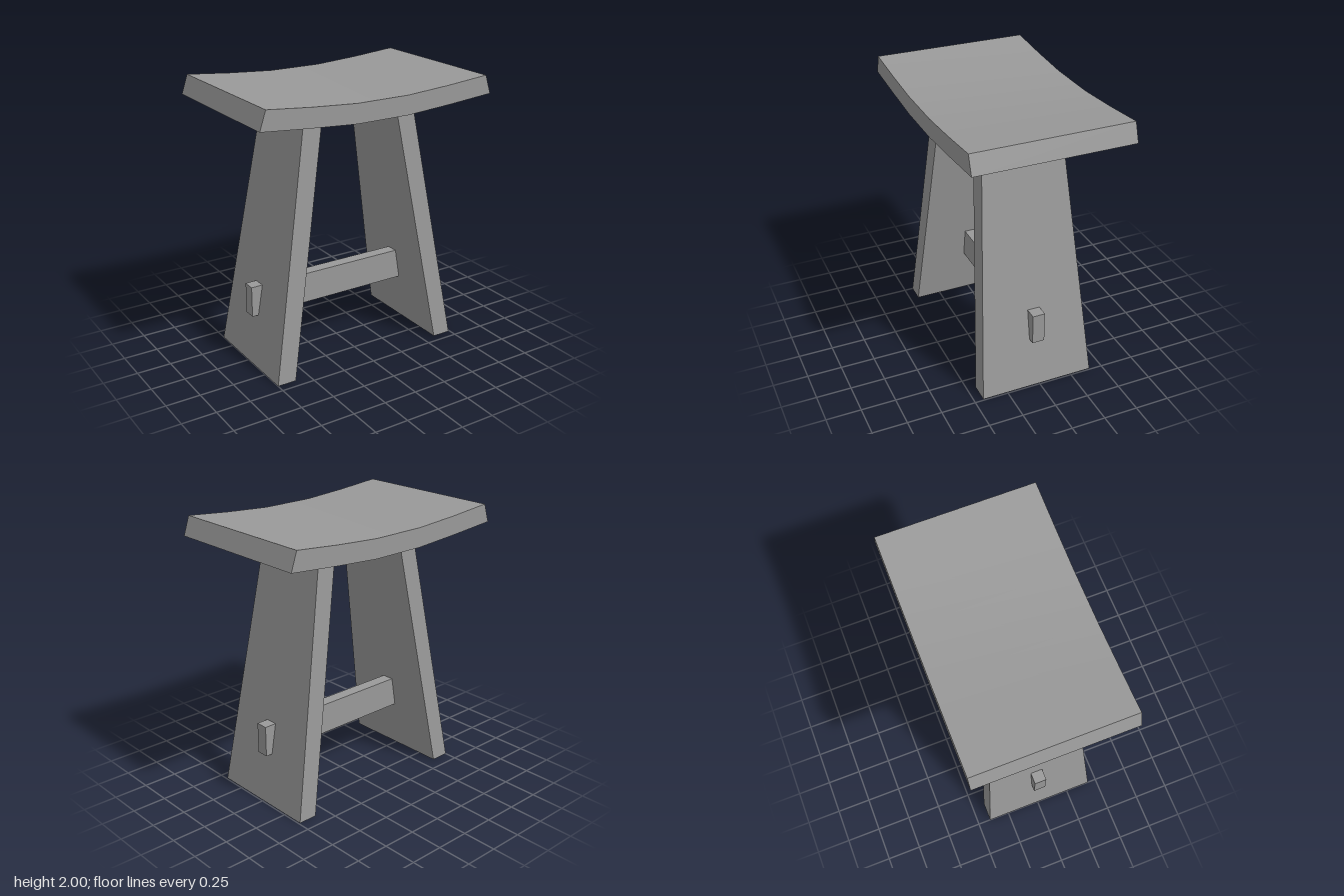
import * as THREE from 'three';
import { toCreasedNormals } from 'three/addons/utils/BufferGeometryUtils.js';

const material = new THREE.MeshStandardMaterial({ color: 0x999999, side: THREE.DoubleSide });

// Ring of corners: an [x, y] line from left to right along the front, then back along the rear
function ring(line, zFront, zBack) {
  return [
    ...line.map(([x, y]) => [x, y, zFront]),
    ...line.map(([x, y]) => [x, y, zBack]).reverse(),
  ];
}

// Board with walls between two rings and a top face, open underneath
function board(name, bottom, top) {
  const positions = [];
  const quad = (a, b, c, d) => positions.push(...a, ...b, ...c, ...a, ...c, ...d);
  const n = bottom.length;
  for (let i = 0; i < n; i++) {
    const j = (i + 1) % n;
    quad(bottom[i], bottom[j], top[j], top[i]);
  }
  for (let i = 0; i < n / 2 - 1; i++) {
    quad(top[i], top[i + 1], top[n - 2 - i], top[n - 1 - i]);
  }
  const geometry = new THREE.BufferGeometry();
  geometry.setAttribute('position', new THREE.Float32BufferAttribute(positions, 3));
  const mesh = new THREE.Mesh(toCreasedNormals(geometry, 0.3), material);
  mesh.name = name;
  return mesh;
}

// Mirror the right half of a line to get the full width
const mirrored = (half) => [...half.map(([x, y]) => [-x, y]).reverse(), ...half];

export function createModel() {
  const model = new THREE.Group();
  model.name = 'stool';

  // Dished seat with sloping ends
  const seatTop = mirrored([[0.2, 1.948], [0.53, 1.97], [0.86, 2]]);
  const seatBottom = mirrored([[0.2, 1.812], [0.55, 1.836], [0.905, 1.866]]);
  model.add(board('seat', ring(seatBottom, 0.565, -0.565), ring(seatTop, 0.565, -0.565)));

  // Splayed, tapering plank legs and the rail that passes through them
  const base = new THREE.Group();
  base.name = 'base';
  base.position.set(-0.005, 0, 0.015);
  for (const side of [-1, 1]) {
    const line = (inner, outer) => [inner, outer]
      .map(([x, y]) => [side * x, y])
      .sort((a, b) => a[0] - b[0]);
    base.add(board(
      side > 0 ? 'leftLeg' : 'rightLeg',
      ring(line([0.605, 0], [0.745, 0]), 0.42, -0.42),
      ring(line([0.295, 1.821], [0.435, 1.83]), 0.287, -0.287),
    ));
  }
  const rail = (y) => ring([[-0.73, y], [0.733, y]], 0.04, -0.05);
  base.add(board('stretcher', rail(0.366), rail(0.591)));
  model.add(base);

  return model;
}
